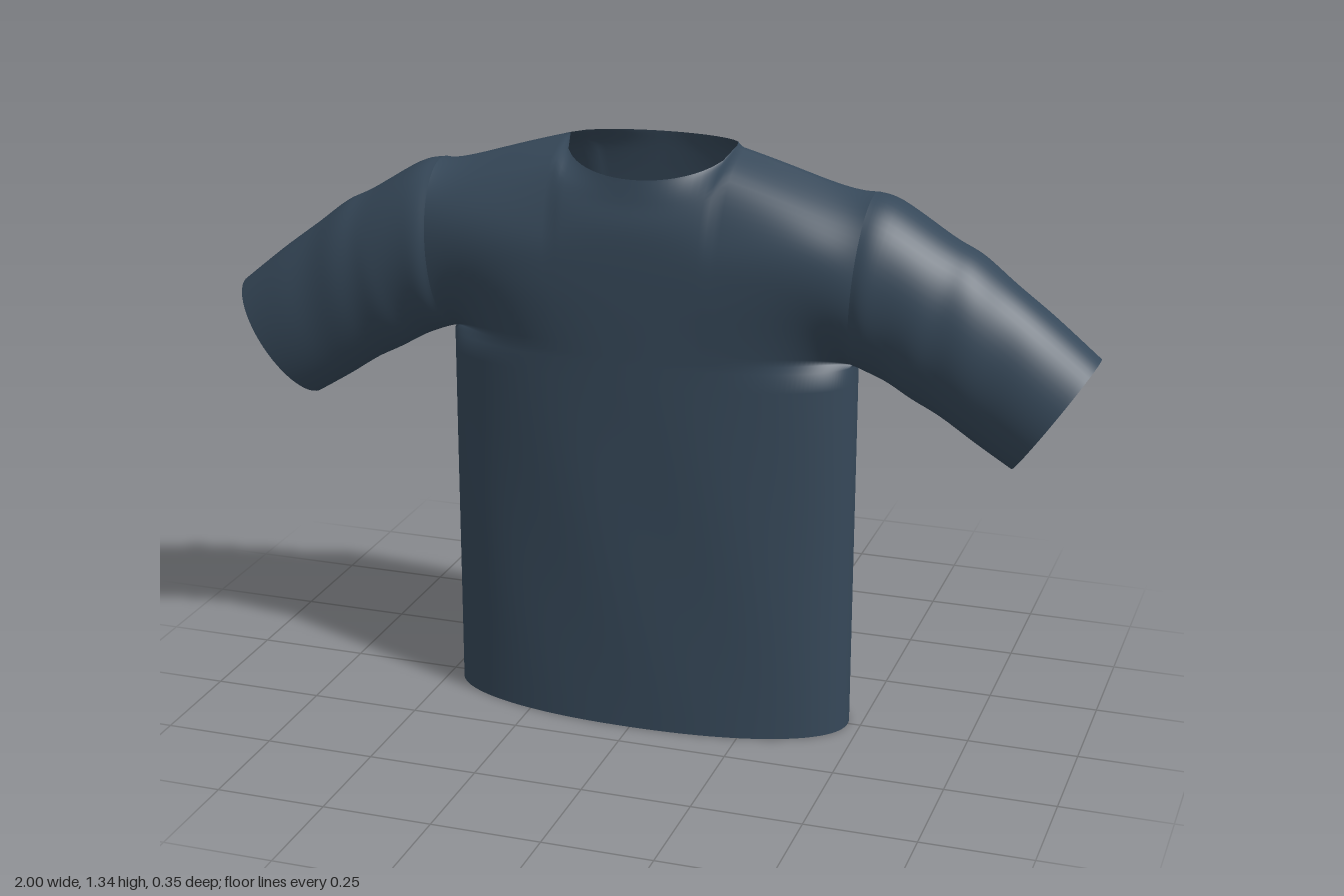
import * as THREE from 'three';
import { mergeVertices, mergeGeometries } from 'three/addons/utils/BufferGeometryUtils.js';

const HALF_W = 0.47, HALF_D = 0.175, ARMPIT = 0.87;
const NECK_X = 0.1915, NECK_Z = 0.146, NECK_Y = 1.338;
const SHOULDER_Y = 1.257, ARM_D = 0.145;
const v2 = (x, y) => new THREE.Vector2(x, y);
const lerp = THREE.MathUtils.lerp;

// Surface from a rule f(u, v) -> [x, y, z], with u x v pointing outward
function grid(f, nu, nv) {
  const pos = [], idx = [];
  for (let j = 0; j <= nv; j++)
    for (let i = 0; i <= nu; i++) pos.push(...f(i / nu, j / nv));
  for (let j = 0; j < nv; j++)
    for (let i = 0; i < nu; i++) {
      const a = j * (nu + 1) + i, b = a + 1, c = a + nu + 1, d = c + 1;
      idx.push(a, b, d, a, d, c);
    }
  const g = new THREE.BufferGeometry();
  g.setAttribute('position', new THREE.Float32BufferAttribute(pos, 3));
  g.setIndex(idx);
  return g;
}

function weld(g) {
  const w = mergeVertices(g, 1e-4);
  w.computeVertexNormals();
  return w;
}

// Front (side = 1) or back (side = -1) panel, from the hem to the shoulder ridge and neckline
function panel(side) {
  const NU = 96, LOW = 20, HIGH = 28;
  const columns = [];
  for (let i = 0; i <= NU; i++) {
    const phi = (i / NU - 0.5) * Math.PI * side;
    const s = Math.sign(phi) * Math.pow(Math.abs(Math.sin(phi)), 0.92);
    const z0 = HALF_D * Math.pow(Math.max(0, Math.cos(phi)), 0.92);
    const x = Math.abs(s) * 0.5;
    const k = x < NECK_X - 1e-3 ? Math.sqrt(1 - (x / NECK_X) ** 2) : 0;
    const drop = side > 0 ? 0.058 : 0.018;
    const top = k > 0 ? NECK_Y - drop * k
      : lerp(NECK_Y, SHOULDER_Y, Math.max(0, x - NECK_X) / (0.5 - NECK_X));
    const curve = new THREE.SplineCurve([
      v2(z0, ARMPIT), v2(lerp(z0, 0.177, 0.8), 1.04), v2(lerp(0.163, 0.172, k), 1.16),
      v2(lerp(0.105, 0.156, k), top - 0.05), v2(NECK_Z * k, top),
    ]);
    columns.push({ s, z0, curve });
  }
  return grid((u, v) => {
    const { s, z0, curve } = columns[Math.round(u * NU)];
    const row = Math.round(v * (LOW + HIGH));
    if (row <= LOW) { // torso tube
      const y = ARMPIT * row / LOW;
      const fold = 1 + 0.008 * Math.sin(y * 7 + s * 9) * Math.sin(Math.PI * row / LOW);
      return [s * HALF_W, y, side * z0 * fold];
    }
    const t = (row - LOW) / HIGH; // chest blending into the armhole
    const c = Math.cos(Math.PI * t), w = Math.pow(Math.abs(s), 6);
    const p = curve.getPoint(t);
    const armY = lerp(ARMPIT, SHOULDER_Y, (1 - c) / 2);
    const armZ = ARM_D * Math.sin(Math.PI * t);
    return [s * (HALF_W + 0.015 * (1 - c)), lerp(p.y, armY, w), side * lerp(p.x, armZ, w)];
  }, NU, LOW + HIGH);
}

// Sleeve swept through rings given by upper edge, lower edge and half depth
function sleeve(side) {
  const upper = new THREE.SplineCurve([
    v2(0.5, 1.257), v2(0.555, 1.242), v2(0.67, 1.172), v2(0.735, 1.138),
    v2(0.81, 1.08), v2(0.9, 1.012), v2(1, 0.93)]);
  const lower = new THREE.SplineCurve([
    v2(0.47, 0.87), v2(0.495, 0.862), v2(0.545, 0.84), v2(0.605, 0.805),
    v2(0.67, 0.77), v2(0.745, 0.72), v2(0.822, 0.672)]);
  const depth = new THREE.SplineCurve(
    [0.145, 0.15, 0.139, 0.136, 0.127, 0.122, 0.115].map((d, i) => v2(i, d)));
  return weld(grid((u, v) => {
    const a = u * Math.PI * 2 * side;
    const p = upper.getPoint(v), q = lower.getPoint(v), d = depth.getPoint(v).x === undefined ? 0 : depth.getPoint(v).y;
    const k = (1 + Math.cos(a)) / 2;
    // soft creases across the sleeve
    const crease = 1 + 0.02 * Math.sin(v * 22 + Math.cos(a) * 2) * Math.sin(Math.PI * v);
    return [side * lerp(q.x, p.x, k), lerp(q.y, p.y, k), d * crease * Math.sin(a)];
  }, 56, 36));
}

export function createModel() {
  const cloth = new THREE.MeshStandardMaterial({ color: 0x364859, side: THREE.DoubleSide });
  cloth.name = 'slate blue cloth';
  const shirt = new THREE.Group();
  shirt.name = 'shirt';
  const add = (name, geometry) => {
    const m = new THREE.Mesh(geometry, cloth);
    m.name = name;
    shirt.add(m);
  };
  add('body', weld(mergeGeometries([panel(1), panel(-1)])));
  add('leftSleeve', sleeve(1));
  add('rightSleeve', sleeve(-1));
  return shirt;
}
